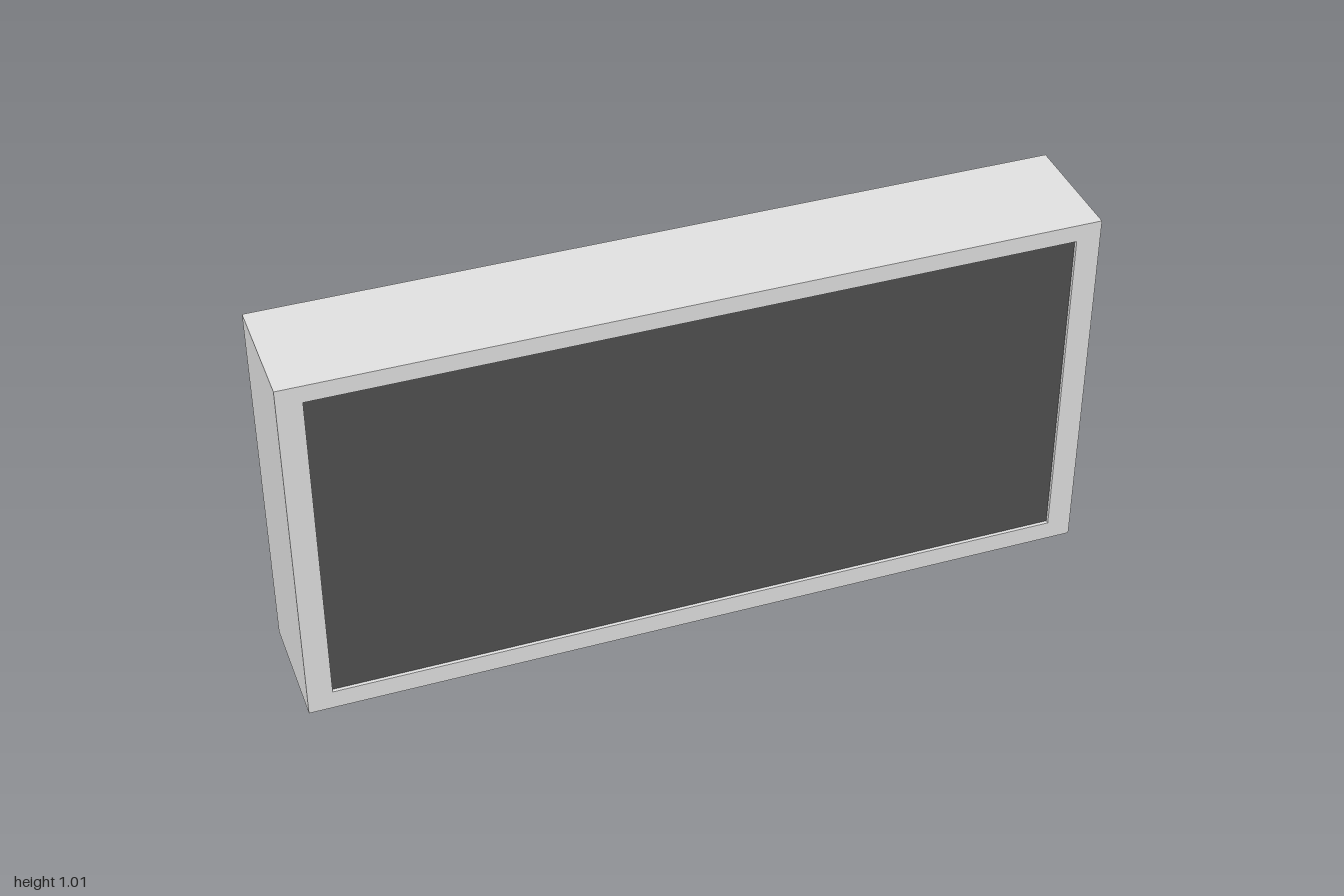
import * as THREE from 'three';

const TOP = 1.01, BOTTOM = 0.05, BACK = -0.155, FRONT = 0.155;
const RECESS = 0.012;      // screen set-back
const VENT_TOP = 0.105;    // ceiling of the bottom vents

// Rectangle as a shape or a hole
function rect(Type, x0, y0, x1, y1) {
  const p = new Type();
  p.moveTo(x0, y0);
  p.lineTo(x1, y0);
  p.lineTo(x1, y1);
  p.lineTo(x0, y1);
  p.closePath();
  return p;
}

export function createModel() {
  const group = new THREE.Group();
  const casing = new THREE.MeshStandardMaterial({ color: 0xe2e2e2 });
  casing.name = 'casing grey';
  const dark = new THREE.MeshStandardMaterial({ color: 0x505050 });
  dark.name = 'screen grey';
  const base = new THREE.MeshStandardMaterial({ color: 0x424242 });
  base.name = 'socket grey';
  const red = new THREE.MeshStandardMaterial({ color: 0xe00808 });
  red.name = 'lamp red';

  function add(name, geometry, material, x, y, z) {
    const mesh = new THREE.Mesh(geometry, material);
    mesh.name = name;
    mesh.position.set(x, y, z);
    group.add(mesh);
    return mesh;
  }

  // Main casing above the vents
  const inner = FRONT - RECESS;
  const depth = inner - BACK, midZ = (inner + BACK) / 2;
  add('casing', new THREE.BoxGeometry(2, TOP - VENT_TOP, depth), casing,
    0, (TOP + VENT_TOP) / 2, midZ);

  // Underside slab with two rectangular vents
  const slab = rect(THREE.Shape, -1, BACK, 1, inner);
  for (const side of [-1, 1]) {
    slab.holes.push(rect(THREE.Path, side * 0.3 - 0.2, -0.07, side * 0.3 + 0.2, 0.13));
    add(side > 0 ? 'leftVentPanel' : 'rightVentPanel',
      new THREE.BoxGeometry(0.398, 0.006, 0.198), dark, side * 0.3, VENT_TOP - 0.002, 0.03);
  }
  const slabGeo = new THREE.ExtrudeGeometry(slab, { depth: VENT_TOP - BOTTOM, bevelEnabled: false });
  slabGeo.rotateX(Math.PI / 2);
  add('underside', slabGeo, casing, 0, VENT_TOP, 0);

  // Raised border around the screen
  const border = rect(THREE.Shape, -1, BOTTOM, 1, TOP);
  border.holes.push(rect(THREE.Path, -0.938, 0.1, 0.938, 0.965));
  add('screenBorder', new THREE.ExtrudeGeometry(border, { depth: RECESS, bevelEnabled: false }),
    casing, 0, 0, inner);

  // Screen
  add('screen', new THREE.BoxGeometry(1.876, 0.865, 0.004), dark, 0, 0.5325, inner + 0.001);

  // Six-sided lamp hanging below the left end
  const hex = (rTop, rBottom, h) =>
    new THREE.CylinderGeometry(rTop, rBottom, h, 6).rotateY(Math.PI / 6);
  add('lampSocket', hex(0.043, 0.043, 0.022), base, 0.793, 0.044, -0.038);
  add('lamp', hex(0.034, 0.033, 0.034), red, 0.793, 0.017, -0.038);

  return group;
}
